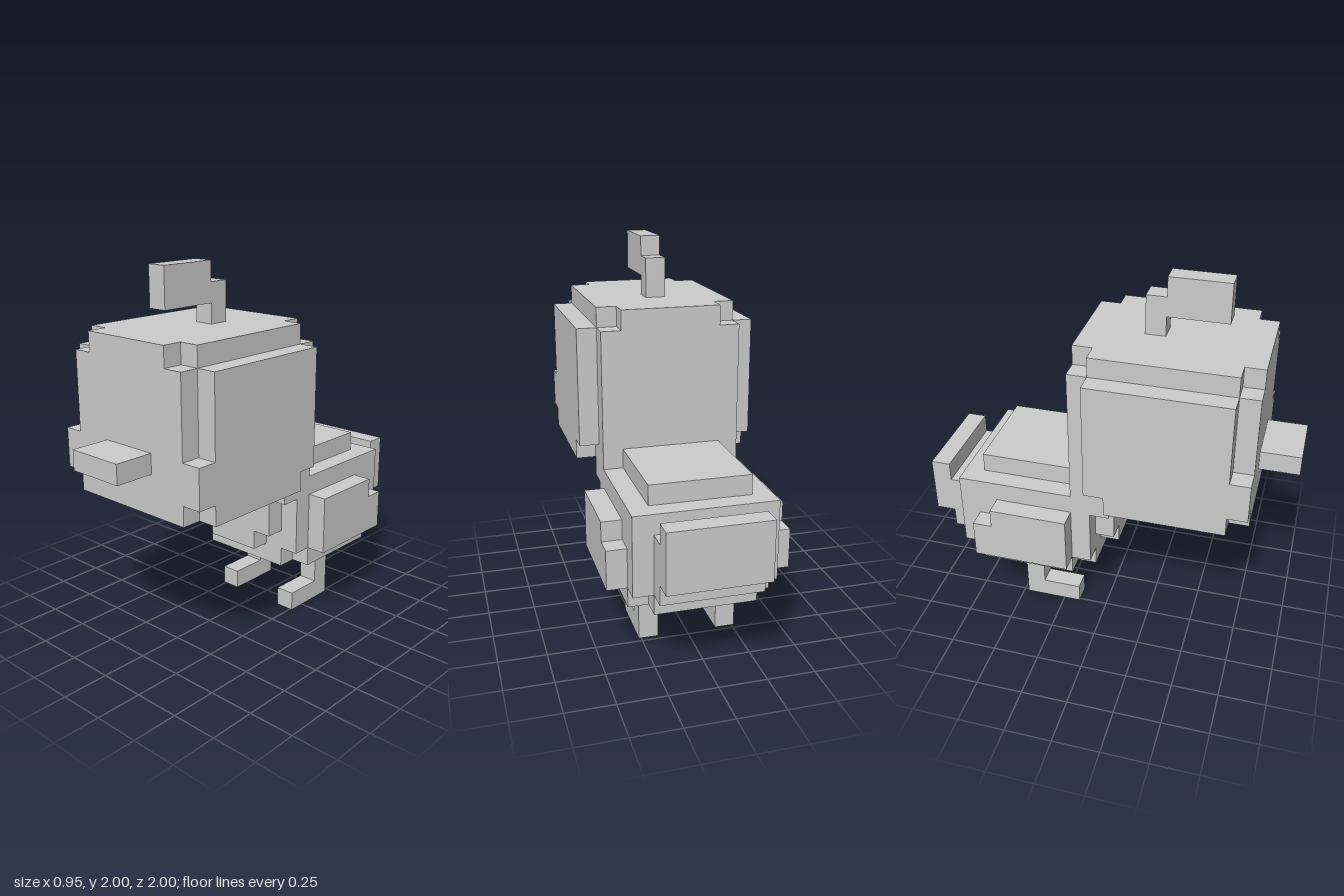
import * as THREE from 'three';

const U = 2 / 19; // one block
const material = new THREE.MeshStandardMaterial({ color: 0xcccccc, flatShading: true });

// Box from its lower and upper bounds, in blocks
function block(parent, name, [x0, x1], [y0, y1], [z0, z1]) {
  const geometry = new THREE.BoxGeometry((x1 - x0) * U, (y1 - y0) * U, (z1 - z0) * U);
  const mesh = new THREE.Mesh(geometry, material);
  mesh.name = name;
  mesh.position.set((x0 + x1) / 2 * U, (y0 + y1) / 2 * U, (z0 + z1) / 2 * U);
  parent.add(mesh);
}

// Box centred on the middle plane
function centred(parent, name, half, y, z) {
  block(parent, name, [-half, half], y, z);
}

// The same box on both sides
function pair(parent, name, [x0, x1], y, z) {
  block(parent, name + 'Left', [x0, x1], y, z);
  block(parent, name + 'Right', [-x1, -x0], y, z);
}

function section(parent, name) {
  const group = new THREE.Group();
  group.name = name;
  parent.add(group);
  return group;
}

export function createModel() {
  const model = new THREE.Group();
  model.name = 'blockBird';

  // Head with notched crown, side panels and cheeks
  const head = section(model, 'head');
  centred(head, 'skull', 3.5, [8, 15], [-1.5, 7.5]);
  centred(head, 'crown', 2.5, [15, 16], [-1.5, 7.5]);
  pair(head, 'crownSide', [2.5, 3.5], [15, 16], [-0.5, 6.5]);
  pair(head, 'headSide', [3.5, 4.5], [9, 15], [-0.5, 6.5]);
  pair(head, 'jawSide', [3.5, 4.5], [8, 9], [0.5, 6.5]);
  pair(head, 'cheek', [3.5, 4.5], [9, 11], [6.5, 7.5]);
  centred(head, 'beak', 1.5, [10, 11], [7.5, 9.5]);

  // Crest, a stem with a forward plume
  const crest = section(model, 'crest');
  centred(crest, 'crestStem', 0.5, [16, 18], [1.5, 2.5]);
  centred(crest, 'crestPlume', 0.5, [17, 19], [2.5, 5.5]);

  // Body with back slab and belly
  const body = section(model, 'body');
  centred(body, 'torso', 3.5, [4, 8], [-7.5, -0.5]);
  centred(body, 'backSlab', 2.5, [8, 9], [-6.5, -1.5]);
  centred(body, 'belly', 2.5, [3, 4], [-7.5, -0.5]);
  pair(body, 'bellySide', [2.5, 3.5], [3, 4], [-6.5, -1.5]);

  // Chest, narrowing downwards
  [[3.5, 7, 8], [2.5, 5, 7], [1.5, 4, 5]].forEach(([half, y0, y1]) => {
    centred(body, 'chest', half, [y0, y1], [-0.5, 0.5]);
  });

  // Wings with a clipped rear corner
  pair(body, 'wing', [3.5, 4.5], [4, 7], [-5.5, -1.5]);
  pair(body, 'wingTip', [3.5, 4.5], [4, 6], [-6.5, -5.5]);

  // Tail
  centred(body, 'tailBase', 2.5, [4, 7], [-8.5, -7.5]);
  centred(body, 'tailTip', 2.5, [5, 8], [-9.5, -8.5]);

  // Legs and feet
  const legs = section(model, 'legs');
  pair(legs, 'leg', [1.5, 2.5], [0, 3], [-4.5, -3.5]);
  pair(legs, 'foot', [1.5, 2.5], [0, 1], [-3.5, -1.5]);

  return model;
}
